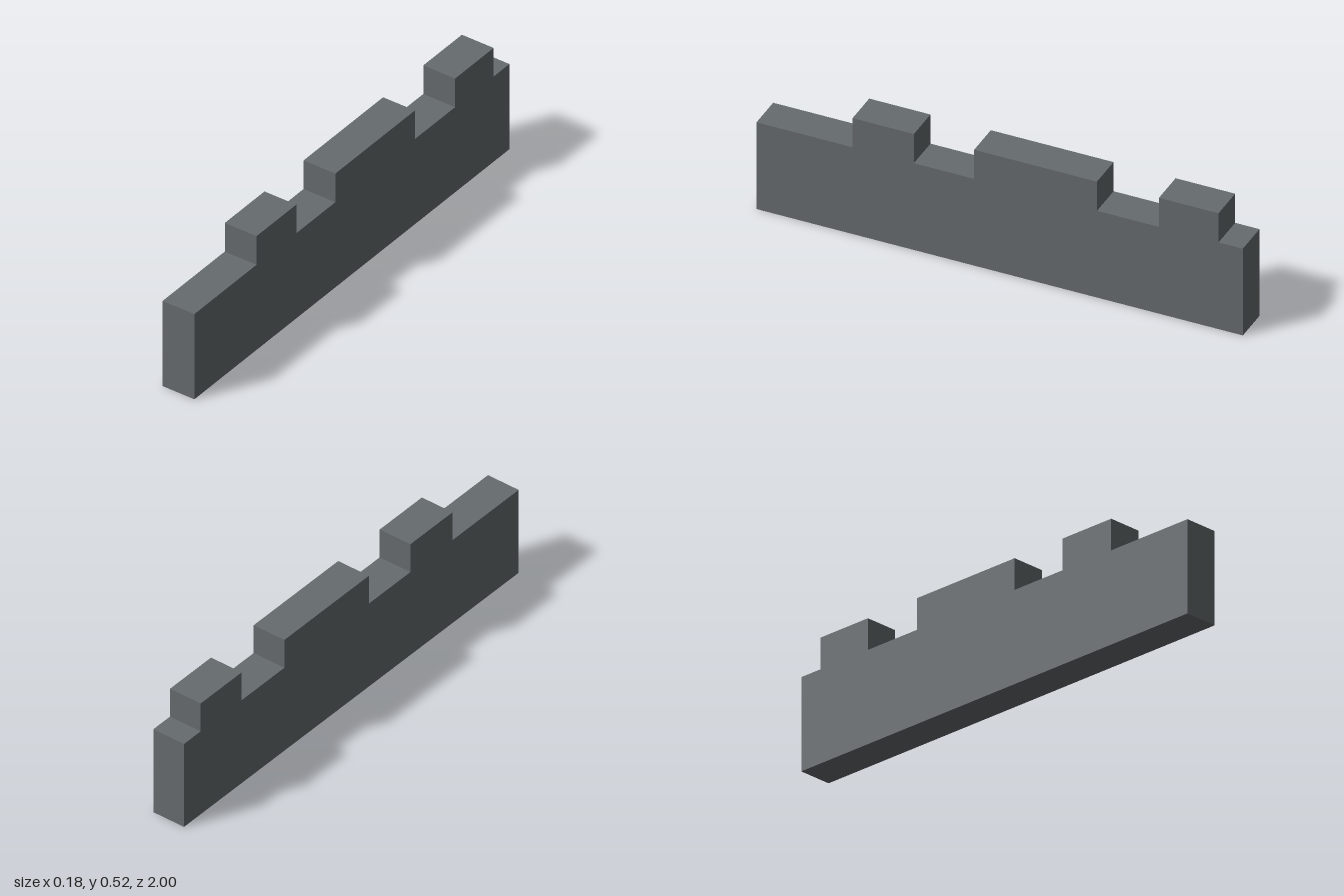
import * as THREE from 'three';

export function createModel() {
  const model = new THREE.Group();
  const stone = new THREE.MeshStandardMaterial({ color: 0x666b6e });
  stone.name = 'slate grey';

  const thickness = 0.146, low = 0.387, high = 0.517, end = 1;
  // Raised blocks along the wall, front to back, as [start, finish] distances
  const merlons = [[-0.605, -0.353], [-0.105, 0.4], [0.655, 0.9]];

  // Side outline of the wall with its stepped top
  const outline = new THREE.Shape();
  outline.moveTo(-end, 0);
  outline.lineTo(end, 0);
  outline.lineTo(end, low);
  for (const [start, finish] of [...merlons].reverse()) {
    outline.lineTo(finish, low);
    outline.lineTo(finish, high);
    outline.lineTo(start, high);
    outline.lineTo(start, low);
  }
  outline.lineTo(-end, low);
  outline.closePath();

  // Extrude across the thickness, then turn the length along z
  const geometry = new THREE.ExtrudeGeometry(outline, { depth: thickness, bevelEnabled: false });
  geometry.translate(0, 0, -thickness / 2);
  geometry.rotateY(Math.PI / 2);

  const wall = new THREE.Mesh(geometry, stone);
  wall.name = 'battlementWall';
  wall.rotation.y = 0.017; // the wall stands slightly askew
  model.add(wall);
  return model;
}
